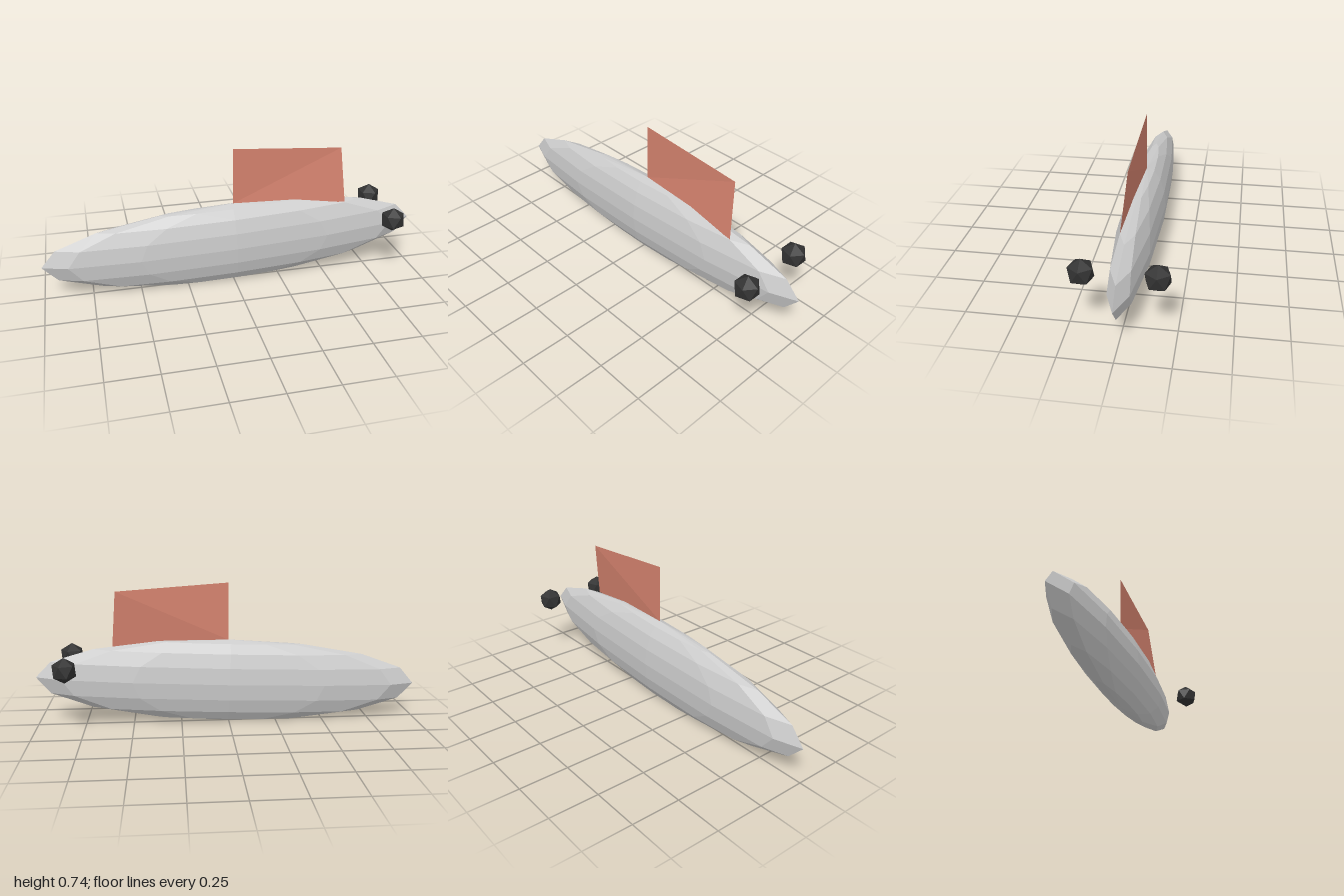
import * as THREE from 'three';

const material = (color, side = THREE.FrontSide) =>
  new THREE.MeshStandardMaterial({ color, side, flatShading: true });

function part(name, geometry, mat) {
  const mesh = new THREE.Mesh(geometry, mat);
  mesh.name = name;
  return mesh;
}

export function createModel() {
  const model = new THREE.Group();
  model.name = 'finnedBody';

  // Long faceted body: a flattened 12 x 8 sphere, nose raised slightly
  const bodyGeometry = new THREE.SphereGeometry(1, 12, 8);
  bodyGeometry.scale(1, 0.22, 0.1);
  const body = part('body', bodyGeometry, material(0xcccccc));
  body.rotation.z = 0.0385;
  body.position.y = 0.221;
  model.add(body);

  // Thin fin with its lower front corner bent sideways
  const finGeometry = new THREE.BufferGeometry().setFromPoints([
    new THREE.Vector3(0, 0.44, 0),
    new THREE.Vector3(0, 0.74, 0),
    new THREE.Vector3(0.58, 0.7, 0),
    new THREE.Vector3(0.605, 0.403, 0.035),
  ]);
  finGeometry.setIndex([0, 2, 1, 0, 3, 2]);
  finGeometry.computeVertexNormals();
  model.add(part('fin', finGeometry, material(0xd4826e, THREE.DoubleSide)));

  // Pair of eyes floating beside the nose: icosahedra standing on a vertex
  const eyeGeometry = new THREE.IcosahedronGeometry(0.0655, 0);
  eyeGeometry.rotateZ(-Math.atan(2 / (1 + Math.sqrt(5))));
  const eyeMaterial = material(0x323232);
  for (const side of [-1, 1]) {
    const eye = part(side > 0 ? 'frontEye' : 'backEye', eyeGeometry, eyeMaterial);
    eye.position.set(0.83, 0.335, side * 0.167);
    model.add(eye);
  }

  return model;
}
